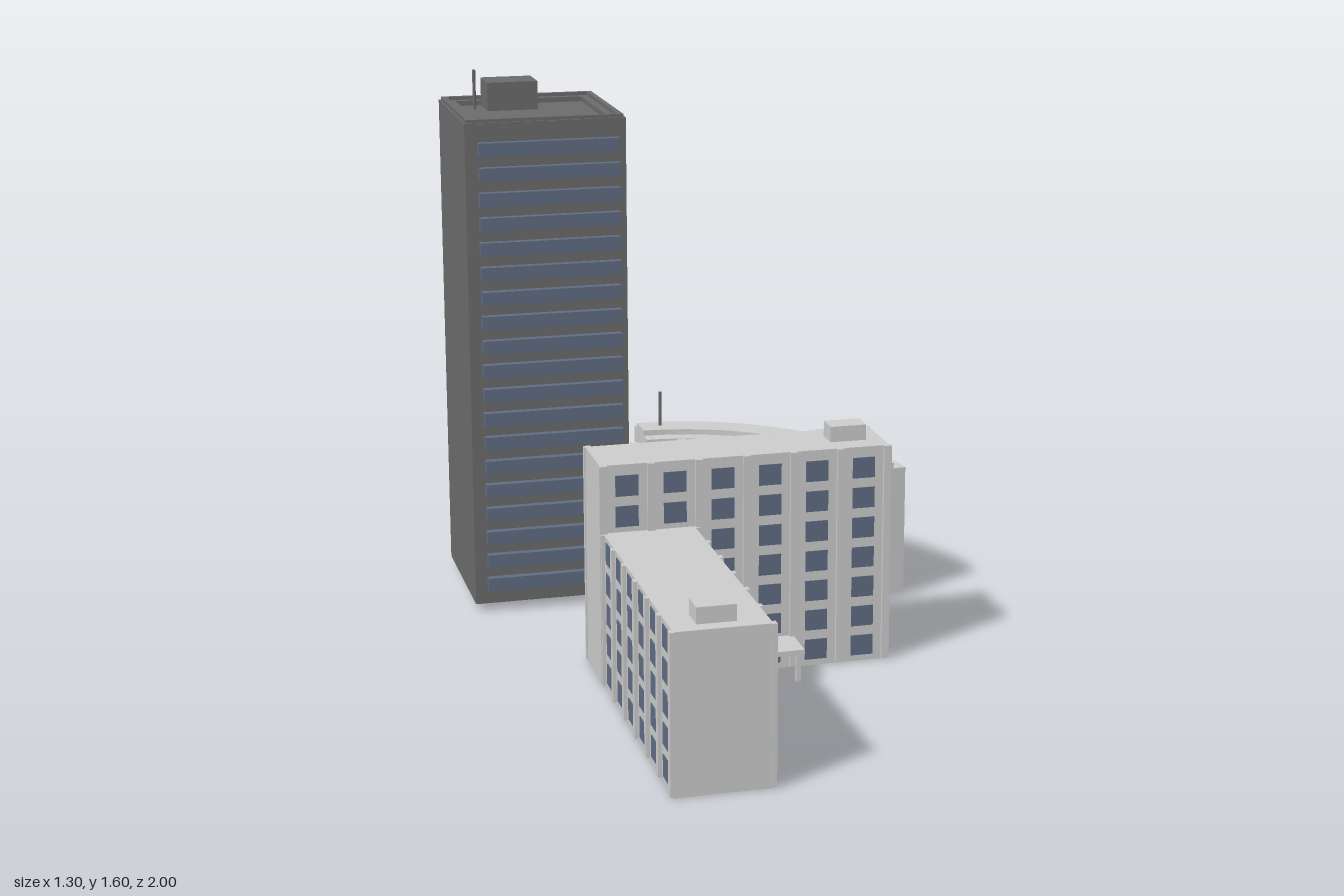
import * as THREE from 'three';

const paint = (color) => new THREE.MeshStandardMaterial({ color });

export function createModel() {
  const root = new THREE.Group();
  const wall = paint(0xcccccc), dark = paint(0x6b6b6b), glass = paint(0x606c82);

  const group = (name) => {
    const g = new THREE.Group();
    g.name = name;
    root.add(g);
    return g;
  };
  const add = (parent, name, geometry, material) => {
    const m = new THREE.Mesh(geometry, material);
    m.name = name;
    parent.add(m);
    return m;
  };
  // Box given by its min and max on each axis
  const box = (parent, name, material, x0, x1, y0, y1, z0, z1) =>
    add(parent, name, new THREE.BoxGeometry(x1 - x0, y1 - y0, z1 - z0), material)
      .position.set((x0 + x1) / 2, (y0 + y1) / 2, (z0 + z1) / 2);
  const mast = (parent, x, z, y0, y1) =>
    add(parent, 'mast', new THREE.CylinderGeometry(0.005, 0.005, y1 - y0, 8), dark)
      .position.set(x, (y0 + y1) / 2, z);

  // Horizontal outline raised from y0 to y1 (shape y becomes -z)
  const raise = (parent, name, material, shape, y0, y1) => {
    const g = new THREE.ExtrudeGeometry(shape, { depth: y1 - y0, bevelEnabled: false });
    g.rotateX(-Math.PI / 2);
    return add(parent, name, g, material).position.y = y0;
  };

  // ---- Tower ----
  const tower = group('tower');
  const [tx0, tx1, tz0, tz1] = [-0.65, -0.172, -0.982, -0.507];
  box(tower, 'towerBody', dark, tx0, tx1, 0.025, 1.475, tz0, tz1);
  const rectangle = (inset, Type) => new Type([
    [tx0 + inset, -tz1 + inset], [tx1 - inset, -tz1 + inset],
    [tx1 - inset, -tz0 - inset], [tx0 + inset, -tz0 - inset],
  ].map(([x, y]) => new THREE.Vector2(x, y)));
  const ring = (name, outer, inner, y0, y1) => {
    const shape = rectangle(outer, THREE.Shape);
    shape.holes.push(rectangle(inner, THREE.Path));
    raise(tower, name, dark, shape, y0, y1);
  };
  ring('parapet', 0, 0.045, 1.475, 1.49);
  ring('parapetRim', 0.006, 0.022, 1.49, 1.5);
  for (let i = 0; i < 19; i++) {
    const y = 0.09 + i * 0.0736;
    box(tower, 'frontWindowBand', glass, -0.613, -0.194, y - 0.02, y + 0.02, tz1 - 0.01, -0.483);
    box(tower, 'backWindowBand', glass, -0.625, -0.205, y - 0.02, y + 0.02, -1, tz0 + 0.01);
  }
  box(tower, 'roofPlant', dark, -0.567, -0.418, 1.512, 1.595, -0.7, -0.585);
  mast(tower, -0.56, -0.862, 1.47, 1.595);

  // ---- Slab and wing, with bays of windows between pilasters ----
  // Local frame: the long side runs along x from 0, walls face +z and -z.
  const bayBlock = (name, length, width, height, rows, bays) => {
    const g = group(name);
    const half = width / 2, bay = (length - 0.022) / bays;
    box(g, 'walls', wall, 0.004, length - 0.004, 0, height, -half + 0.01, half - 0.01);
    for (const side of [-1, 1]) {
      const strip = (label, material, x, y0, y1, w, depth) => {
        const a = side * (half - 0.015), b = side * (half - 0.01 + depth);
        box(g, label, material, x - w / 2, x + w / 2, y0, y1, Math.min(a, b), Math.max(a, b));
      };
      for (let i = 0; i <= bays; i++) {
        strip('pilaster', wall, 0.011 + i * bay, 0.004, height, 0.022, 0.01);
        if (i === bays) continue;
        for (let r = 0; r < rows; r++) {
          const y = 0.048 + r * 0.0885;
          strip('window', glass, 0.011 + (i + 0.5) * bay, y - 0.03, y + 0.03, 0.065, 0.003);
        }
      }
    }
    return g;
  };
  const slab = bayBlock('slab', 0.845, 0.218, 0.64, 7, 6);
  slab.position.set(-0.412, 0, 0.08);
  const wing = bayBlock('wing', 0.825, 0.28, 0.445, 5, 6);
  wing.rotation.y = -Math.PI / 2;
  wing.position.set(-0.27, 0, 0.175);

  const roof = group('roofBoxes');
  box(roof, 'slabRoofBox', wall, 0.275, 0.38, 0.635, 0.685, 0.045, 0.113);
  box(roof, 'wingRoofBox', wall, -0.33, -0.225, 0.44, 0.49, 0.88, 0.955);

  const entrance = group('entrance');
  box(entrance, 'canopy', wall, -0.14, 0.148, 0.082, 0.096, 0.17, 0.302);
  box(entrance, 'canopyPost', wall, 0.125, 0.139, 0, 0.085, 0.285, 0.297);

  // ---- Curved block: elliptical arc swept from the back to the right ----
  const curved = group('curvedBlock');
  const cx = -0.045, cz = -0.243, squash = 0.925, END = 84;
  // r0, r1: radii along z; angles in degrees from the back
  const arc = (name, material, r0, r1, a0, a1, y0, y1) => {
    const pts = [], n = 40;
    const push = (r, a) => pts.push(new THREE.Vector2(
      cx + squash * r * Math.sin(a), -cz + r * Math.cos(a)));
    const at = (i) => THREE.MathUtils.degToRad(a0 + (a1 - a0) * i / n);
    for (let i = 0; i <= n; i++) push(r0, at(i));
    for (let i = n; i >= 0; i--) push(r1, at(i));
    raise(curved, name, material, new THREE.Shape(pts), y0, y1);
  };
  arc('curvedWalls', wall, 0.569, 0.752, 0, END, 0.015, 0.413);
  arc('roofStep', wall, 0.617, 0.71, 0, END, 0.41, 0.43);
  for (let i = 0; i < 5; i++) {
    const y = 0.065 + i * 0.075;
    arc('outerWindowBand', glass, 0.745, 0.757, 4, 79, y - 0.023, y + 0.023);
    arc('innerWindowBand', glass, 0.564, 0.575, 4, 79, y - 0.023, y + 0.023);
  }
  mast(curved, 0.02, -0.91, 0.42, 0.54);

  return root;
}
